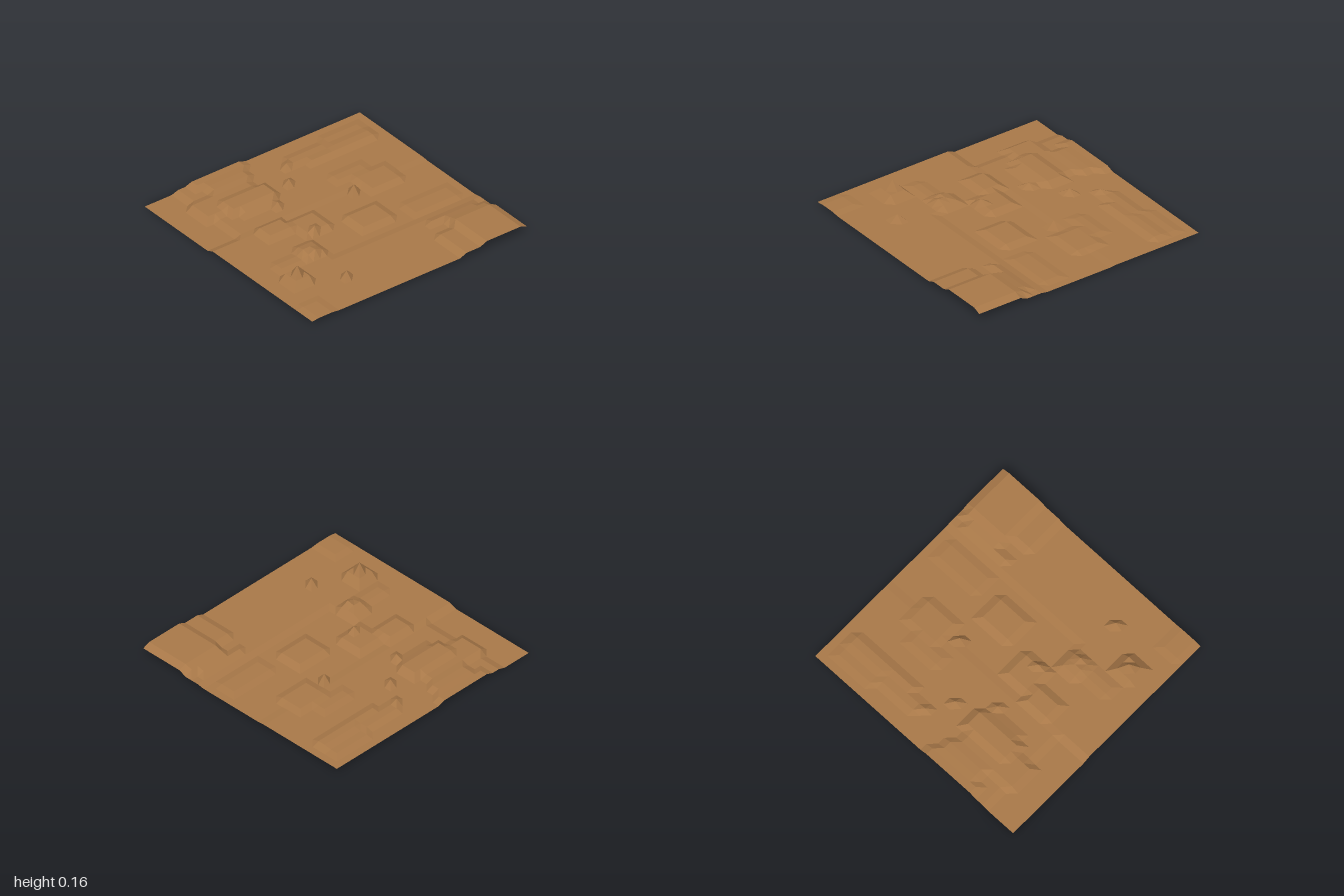
import * as THREE from 'three';

const CELLS = 32, HALF = 16;

// Terraces in grid cells: [x from, x to, z from, z to, height]; later ones override
const terraces = [
  // low ground
  [-16, 16, -16, -4, 0.02], [-16, -12, -16, -4, 0], [-5, 16, -3, 6, 0.015],
  // back ridge and its steps
  [-9, -2, -16, -15, 0.042], [-8, -3, -14, -13, 0.045], [-12, -4, -12, -9, 0.04],
  [-9, -3, -10, -8, 0.062], [-8, -4, -7, -7, 0.04],
  // back right terraces
  [9, 14, -14, -13, 0.03], [5, 14, -12, -11, 0.04], [3, 8, -13, -12, 0.035],
  // middle terraces
  [5, 9, -7, -6, 0.03], [7, 11, -5, -2, 0.035], [-9, -6, -3, -1, 0.055],
  [-5, -2, -2, 1, 0.045], [1, 5, 1, 4, 0.04], [8, 14, 3, 5, 0.025],
  // left shelf
  [-12, -9, 4, 5, 0.035], [-8, -6, 3, 5, 0.055], [-8, -7, 4, 4, 0.07],
  // front left rim
  [-15, -13, 13, 16, 0.033],
  // raised front right corner
  [8, 14, 8, 8, 0.045], [7, 9, 11, 16, 0.05], [10, 15, 9, 9, 0.06],
  [10, 15, 10, 16, 0.077], [16, 16, 10, 16, 0.052],
];

// Single-point peaks: [x, z, height]
const peaks = [
  [5, -3, 0.085], [-7, 11, 0.085], [-4, 1, 0.08], [-7, 5, 0.08],
  [0, -9, 0.065], [-4, -6, 0.06], [2, -12, 0.055],
];

function heightAt(x, z) {
  let h = 0.025;
  for (const [x0, x1, z0, z1, level] of terraces) {
    if (x >= x0 && x <= x1 && z >= z0 && z <= z1) h = level;
  }
  for (const [px, pz, level] of peaks) if (x === px && z === pz) h = level;
  // tallest hill, a stepped pyramid
  const d = Math.max(Math.abs(x + 12), Math.abs(z - 8));
  if (d < 2) h = d === 0 ? 0.16 : 0.08;
  return h;
}

export function createModel() {
  const group = new THREE.Group();
  group.name = 'landscape';

  // Ground sheet raised point by point
  const geometry = new THREE.PlaneGeometry(2, 2, CELLS, CELLS).rotateX(-Math.PI / 2);
  const pos = geometry.attributes.position;
  for (let i = 0; i < pos.count; i++) {
    const x = Math.round(pos.getX(i) * HALF), z = Math.round(pos.getZ(i) * HALF);
    pos.setY(i, heightAt(x, z));
  }
  geometry.computeVertexNormals();

  const material = new THREE.MeshStandardMaterial({
    color: 0xa87848, flatShading: true, side: THREE.DoubleSide,
  });
  const terrain = new THREE.Mesh(geometry, material);
  terrain.name = 'terrain';
  group.add(terrain);
  return group;
}
